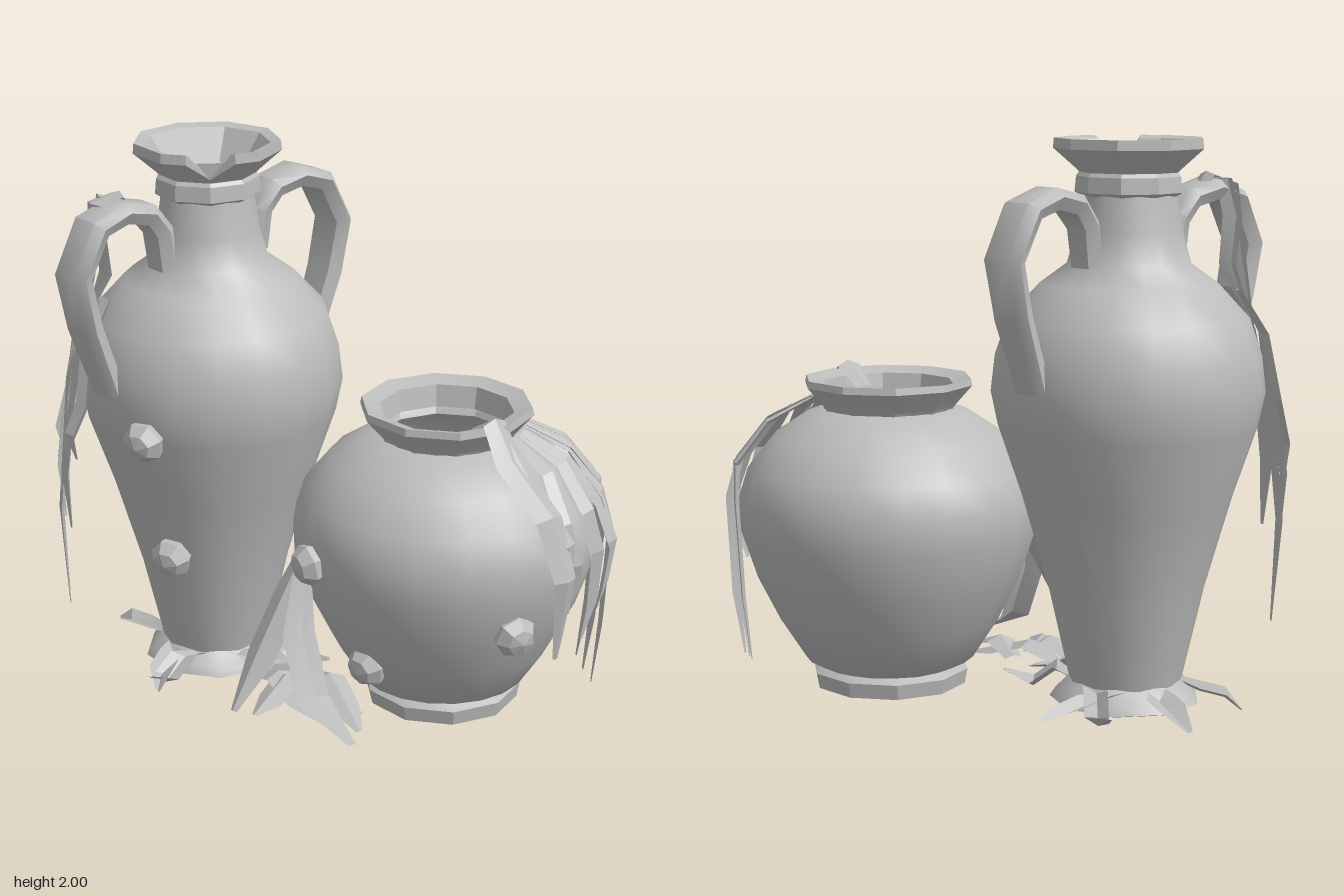
import * as THREE from 'three';
import { toCreasedNormals } from 'three/addons/utils/BufferGeometryUtils.js';

const clay = new THREE.MeshStandardMaterial({ color: 0xbcbcbc, side: THREE.DoubleSide });
clay.name = 'grey clay';

const JAR = new THREE.Vector3(-0.4, 0, -0.25);
const POT = new THREE.Vector3(0.405, 0, 0.15);

function part(parent, name, geometry, crease = 0.6) {
  const mesh = new THREE.Mesh(toCreasedNormals(geometry, crease), clay);
  mesh.name = name;
  parent.add(mesh);
  return mesh;
}

function lathe(profile, sides) {
  return new THREE.LatheGeometry(profile.map(([r, y]) => new THREE.Vector2(r, y)), sides);
}

// Grid of rows of points joined into a surface; closed rows wrap round
function loft(rows, closed) {
  const n = rows[0].length, index = [];
  for (let i = 0; i < rows.length - 1; i++) {
    for (let j = 0; j < (closed ? n : n - 1); j++) {
      const k = (j + 1) % n, a = i * n + j, b = i * n + k;
      index.push(a, b, a + n, b, b + n, a + n);
    }
  }
  if (closed) {
    const last = (rows.length - 1) * n;
    for (let j = 1; j < n - 1; j++) index.push(0, j + 1, j, last, last + j, last + j + 1);
  }
  const g = new THREE.BufferGeometry();
  g.setAttribute('position', new THREE.Float32BufferAttribute(rows.flat().flatMap(p => [p.x, p.y, p.z]), 3));
  g.setIndex(index);
  return g;
}

// Pointed strip with a raised centre fold, wide along the level direction "across"
function leaf(parent, name, points, width, across) {
  const pts = points.map(p => new THREE.Vector3(...p));
  const rows = pts.map((p, i) => {
    const t = i / (pts.length - 1);
    const half = width * 0.5 * (t === 1 ? 0.2 : 0.55 + 0.45 * Math.sin(Math.PI * t));
    const dir = pts[Math.min(i + 1, pts.length - 1)].clone().sub(pts[Math.max(i - 1, 0)]).normalize();
    const fold = dir.cross(across).normalize().multiplyScalar(half * 0.4);
    return [p.clone().addScaledVector(across, -half), p.clone().add(fold), p.clone().addScaledVector(across, half)];
  });
  part(parent, name, loft(rows, false), 0.3);
}

// Strip that hangs down the side of a vessel; angle runs from +x toward +z
function hang(parent, centre, angle, profile, width) {
  const c = Math.cos(angle), s = Math.sin(angle);
  leaf(parent, 'hangingWeed', profile.map(([r, y, turn = 0]) => [
    centre.x + r * Math.cos(angle + turn), y, centre.z + r * Math.sin(angle + turn)
  ]), width, new THREE.Vector3(-s, 0, c));
}

function tallJar() {
  const g = new THREE.Group();
  g.name = 'tallJar';
  g.position.copy(JAR);
  part(g, 'jarFoot', lathe([[0, 0.01], [0.24, 0.01], [0.27, 0.02], [0.25, 0.05], [0.2, 0.1]], 9));
  part(g, 'jarBody', lathe([
    [0.2, 0.09], [0.275, 0.42], [0.37, 0.75], [0.455, 1.0], [0.48, 1.12], [0.465, 1.25], [0.42, 1.38],
    [0.31, 1.5], [0.215, 1.57], [0.185, 1.68], [0.165, 1.82]
  ], 18), 0.9);
  part(g, 'neckRing', lathe([[0.165, 1.8], [0.19, 1.815], [0.185, 1.87], [0.17, 1.89]], 9), 0.5);

  // Nine-sided rim with one chipped corner at the front, open into the hollow jar
  const rim = lathe([[0.165, 1.87], [0.18, 1.89], [0.265, 1.965], [0.262, 2.0], [0.225, 1.99], [0.15, 1.88]], 18);
  const p = rim.attributes.position;
  for (let i = 0; i < p.count; i++) {
    const column = Math.floor(i / 6);
    if (column % 2) {
      p.setX(i, p.getX(i) * Math.cos(Math.PI / 9));
      p.setZ(i, p.getZ(i) * Math.cos(Math.PI / 9));
    }
    if (column % 18 === 0 && p.getY(i) > 1.9) {
      p.setY(i, 1.9);
      p.setZ(i, Math.min(p.getZ(i), 0.19));
    }
  }
  part(g, 'jarRim', rim, 0.5);

  // Two strap handles on opposite sides, broadest at the outer bend
  const path = [
    [0.2, 1.57, 0.06], [0.22, 1.71, 0.065], [0.28, 1.785, 0.075], [0.39, 1.81, 0.085], [0.5, 1.775, 0.092],
    [0.585, 1.61, 0.09], [0.545, 1.42, 0.085], [0.455, 1.17, 0.07]
  ];
  const section = [[-1, 0.2], [-0.6, 1], [0.6, 1], [1, 0.2], [0.7, -1], [-0.7, -1]];
  const rows = path.map(([x, y, width], i) => {
    const a = path[Math.max(i - 1, 0)], b = path[Math.min(i + 1, path.length - 1)];
    const l = Math.hypot(b[0] - a[0], b[1] - a[1]);
    const nx = -(b[1] - a[1]) / l, ny = (b[0] - a[0]) / l;
    return section.map(([w, h]) => new THREE.Vector3(x + nx * h * 0.037, y + ny * h * 0.037, w * width)).reverse();
  });
  for (const [name, turn] of [['rightSideHandle', 0.6 + Math.PI], ['leftSideHandle', 0.6]]) {
    part(g, name, loft(rows, true), 0.9).rotation.y = turn;
  }
  return g;
}

function roundPot() {
  const g = new THREE.Group();
  g.name = 'roundPot';
  g.position.copy(POT);
  part(g, 'potFoot', lathe([[0, 0], [0.28, 0], [0.29, 0.055], [0.25, 0.08]], 10));
  part(g, 'potBody', lathe([
    [0.25, 0.07], [0.31, 0.1], [0.4, 0.24], [0.48, 0.4], [0.54, 0.58], [0.545, 0.7], [0.51, 0.81],
    [0.42, 0.92], [0.3, 1.0], [0.235, 1.02]
  ], 20), 0.9);
  part(g, 'potRim', lathe([[0.23, 1.0], [0.245, 1.03], [0.31, 1.105], [0.305, 1.13], [0.24, 1.11], [0.225, 1.03]], 10), 0.5);
  return g;
}

export function createModel() {
  const model = new THREE.Group();
  model.name = 'jarsWithSeaweed';
  model.add(tallJar(), roundPot());

  // Barnacles: position and the vessel they grow on
  for (const [x, y, z, vessel] of [
    [-0.66, 1.02, 0.14, JAR], [-0.57, 0.52, 0.02, JAR],
    [-0.1, 0.62, 0.35, POT], [0.58, 0.44, 0.62, POT], [0.1, 0.24, 0.4, POT]
  ]) {
    const out = new THREE.Vector3(x - vessel.x, -0.08, z - vessel.z).normalize();
    const m = part(model, 'barnacle', lathe([[0.068, -0.03], [0.078, 0.01], [0.05, 0.05], [0, 0.065]], 7), 0.1);
    m.position.set(x, y, z);
    m.quaternion.setFromUnitVectors(new THREE.Vector3(0, 1, 0), out);
    m.rotateY(x * 9);
  }

  // Weed hanging from the pot rim: angle, lower end, width, turn at the top, reach
  for (const [angle, end, width, turn, reach] of [
    [-0.05, 0.1, 0.08, 0.05, 0.56], [0.13, 0.09, 0.11, 0.02, 0.57], [0.28, 0.08, 0.1, -0.06, 0.6],
    [0.46, 0.42, 0.11, 0.05, 0.62], [0.64, 0.34, 0.11, -0.06, 0.6], [0.9, 0.5, 0.1, -0.1, 0.6]
  ]) {
    hang(model, POT, angle, [
      [0.28, 1.06, turn], [0.44, 0.98, turn * 0.5], [0.56, 0.83, -turn * 0.4],
      [reach, 0.68], [reach - 0.02, end + (0.68 - end) * 0.4, turn * 0.4], [reach - 0.05, end]
    ], width);
  }
  for (const [points, width] of [
    [[[0.48, 1.07, 0.29], [0.53, 1.14, 0.4], [0.57, 1.02, 0.49], [0.68, 0.88, 0.65], [0.73, 0.68, 0.71], [0.71, 0.38, 0.69]], 0.12],
    [[[0.55, 1.12, 0.39], [0.61, 1.0, 0.5], [0.66, 0.9, 0.6], [0.74, 0.78, 0.65], [0.76, 0.52, 0.63]], 0.1]
  ]) {
    leaf(model, 'rimWeed', points, width, new THREE.Vector3(0.85, 0, -0.53));
  }

  // Weed hanging from the jar's shoulder
  for (const [angle, end, width, turn] of [
    [2.7, 0.9, 0.09, 0.05], [2.86, 0.6, 0.1, -0.05], [3.02, 0.26, 0.08, 0.05],
    [3.16, 0.58, 0.1, -0.1], [3.3, 0.8, 0.09, -0.15]
  ]) {
    hang(model, JAR, angle, [
      [0.4, 1.47, turn], [0.49, 1.32, turn * 0.5], [0.53, 1.1, -turn * 0.4],
      [0.57, end + (1.1 - end) * 0.45, turn * 0.4], [0.55, end]
    ], width);
  }
  // Weed draped over the handle above it
  for (const [points, width] of [
    [[[-0.64, 1.74, -0.08], [-0.72, 1.86, -0.05], [-0.8, 1.83, -0.05], [-0.82, 1.6, -0.1], [-0.88, 1.25, -0.14]], 0.09],
    [[[-0.7, 1.84, 0.0], [-0.77, 1.85, -0.08], [-0.79, 1.72, -0.14], [-0.77, 1.55, -0.16], [-0.84, 1.38, -0.18]], 0.1]
  ]) {
    leaf(model, 'handleWeed', points, width, new THREE.Vector3(0.5, 0, 0.87));
  }

  // Fallen leaves strewn around the jar foot: angle, reach, skew, width
  for (const [a, reach, skew, width] of [
    [0.3, 0.46, 0.12, 0.13], [0.75, 0.48, 0.1, 0.13], [1.3, 0.42, -0.15, 0.13], [1.9, 0.38, 0.15, 0.11],
    [2.6, 0.4, -0.2, 0.13], [3.3, 0.4, 0.2, 0.12], [4.3, 0.5, 0.08, 0.13], [5.0, 0.42, 0.25, 0.12], [5.6, 0.38, -0.25, 0.12]
  ]) {
    const c = Math.cos(a), s = Math.sin(a), lift = 0.02 * Math.sin(a * 7);
    leaf(model, 'fallenLeaf', [[0.19, 0.09], [0.26, 0.1 + lift], [0.35, 0.06 - lift], [reach, 0.05 + lift]].map(
      ([r, y], k) => [JAR.x + r * c - s * k * skew / 3, y, JAR.z + r * s + c * k * skew / 3]
    ), width, new THREE.Vector3(-s, 0, c));
  }
  // A heap of leaves in the gap between the vessels: start and end
  for (const [x0, z0, x1, z1] of [
    [-0.2, 0.05, 0.08, 0.38], [-0.26, 0.1, -0.06, 0.42], [-0.12, 0.18, -0.3, 0.34], [-0.05, 0.12, 0.06, 0.5]
  ]) {
    const across = new THREE.Vector3(z1 - z0, 0, x0 - x1).normalize();
    leaf(model, 'fallenLeaf', [[0, 0.07], [0.3, 0.11], [0.65, 0.06], [1, 0.03]].map(
      ([t, y]) => [x0 + (x1 - x0) * t, y, z0 + (z1 - z0) * t]
    ), 0.12, across);
  }

  // Loose leaves drooping between the two vessels
  leaf(model, 'droopingLeaf', [[-0.1, 0.6, 0.2], [-0.17, 0.45, 0.25], [-0.27, 0.26, 0.32], [-0.38, 0.1, 0.43]], 0.15, new THREE.Vector3(0.6, 0, 0.8));
  leaf(model, 'droopingLeaf', [[-0.12, 0.55, 0.28], [-0.14, 0.35, 0.34], [-0.1, 0.14, 0.45], [0.02, 0.05, 0.63]], 0.14, new THREE.Vector3(0.9, 0, -0.43));
  return model;
}
